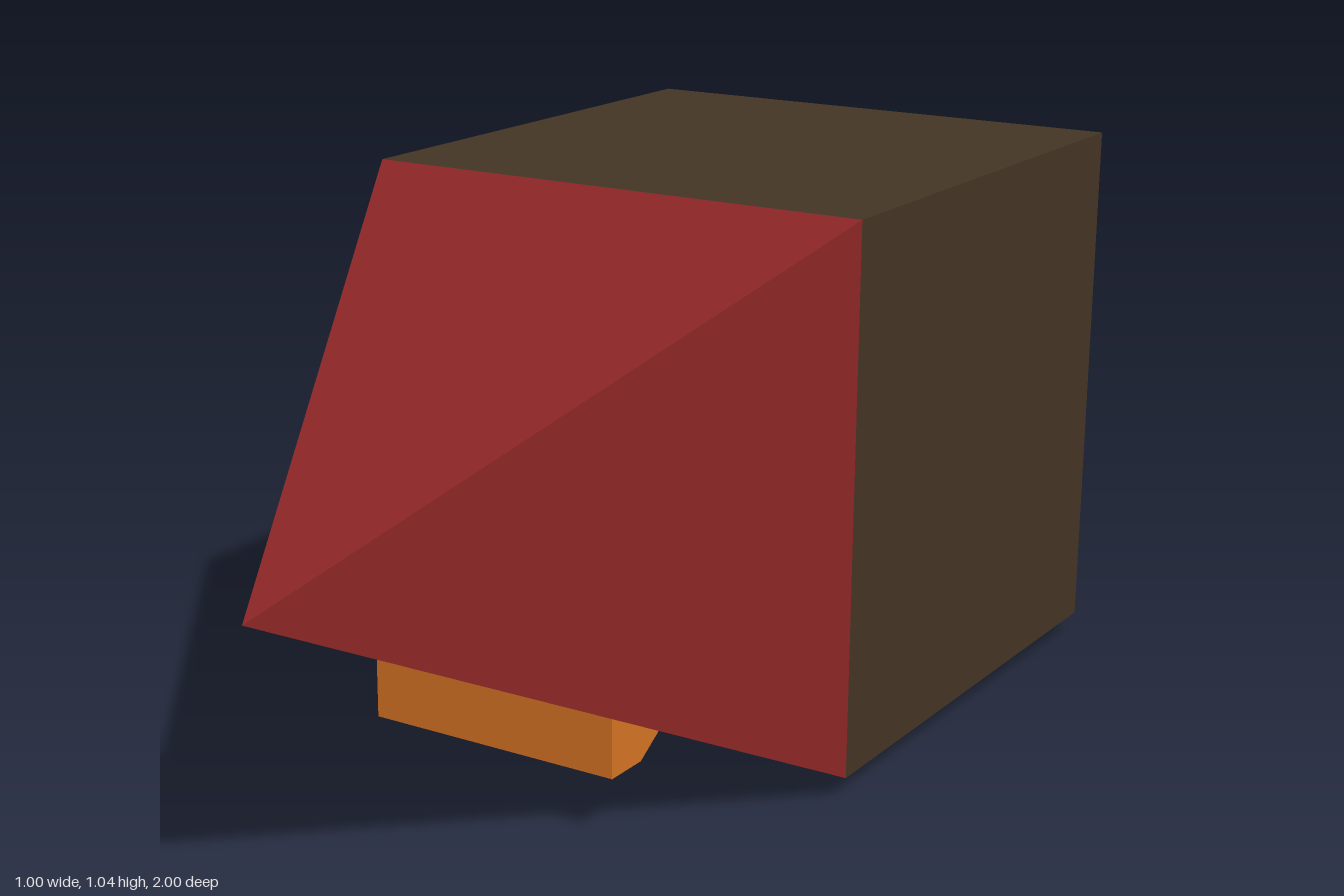
import * as THREE from 'three';

export function createModel() {
  const model = new THREE.Group();
  const paint = (name, color) => {
    const m = new THREE.MeshStandardMaterial({ color });
    m.name = name;
    return m;
  };
  const olive = paint('darkOlive', 0x443524);
  const grey = paint('grey', 0x777777);
  const red = paint('darkRed', 0x8a2525);
  const orange = paint('orange', 0xd47223);
  const tan = paint('tan', 0xbb8859);

  const add = (name, geometry, material, x = 0, y = 0, z = 0) => {
    const mesh = new THREE.Mesh(geometry, material);
    mesh.name = name;
    mesh.position.set(x, y, z);
    model.add(mesh);
  };

  // Side profile given as [z, y], extruded across x
  const sideExtrude = (points, width) => {
    const shape = new THREE.Shape(points.map(([z, y]) => new THREE.Vector2(-z, y)));
    const g = new THREE.ExtrudeGeometry(shape, { depth: width, bevelEnabled: false });
    return g.translate(0, 0, -width / 2).rotateY(Math.PI / 2);
  };

  // Cube body with a grey back face (z from -0.998 to 0)
  add('body', new THREE.BoxGeometry(1, 1, 0.998),
    [olive, olive, olive, olive, olive, grey], 0, 0.54, -0.499);

  // Four-sided pointed nose
  const nose = new THREE.ConeGeometry(Math.SQRT1_2, 1, 4, 1).toNonIndexed();
  nose.rotateY(Math.PI / 4).rotateX(Math.PI / 2);
  nose.computeVertexNormals();
  add('nose', nose, red, 0, 0.54, 0.5);

  // Flat runner under the body, undercut at its front end
  add('runner', sideExtrude([[-0.998, 0], [-0.09, 0], [-0.18, 0.06], [-0.998, 0.06]], 0.5), tan);

  // Block set into the underside of the nose
  add('noseBlock', sideExtrude(
    [[0.37, 0.115], [0.37, 0.225], [0.2, 0.225], [0.2, 0.165], [0.28, 0.115]], 0.5), orange);

  // Thin square panel on the back
  add('backPanel', new THREE.BoxGeometry(0.5, 0.5, 0.004), orange, 0, 0.25, -0.998);

  return model;
}
